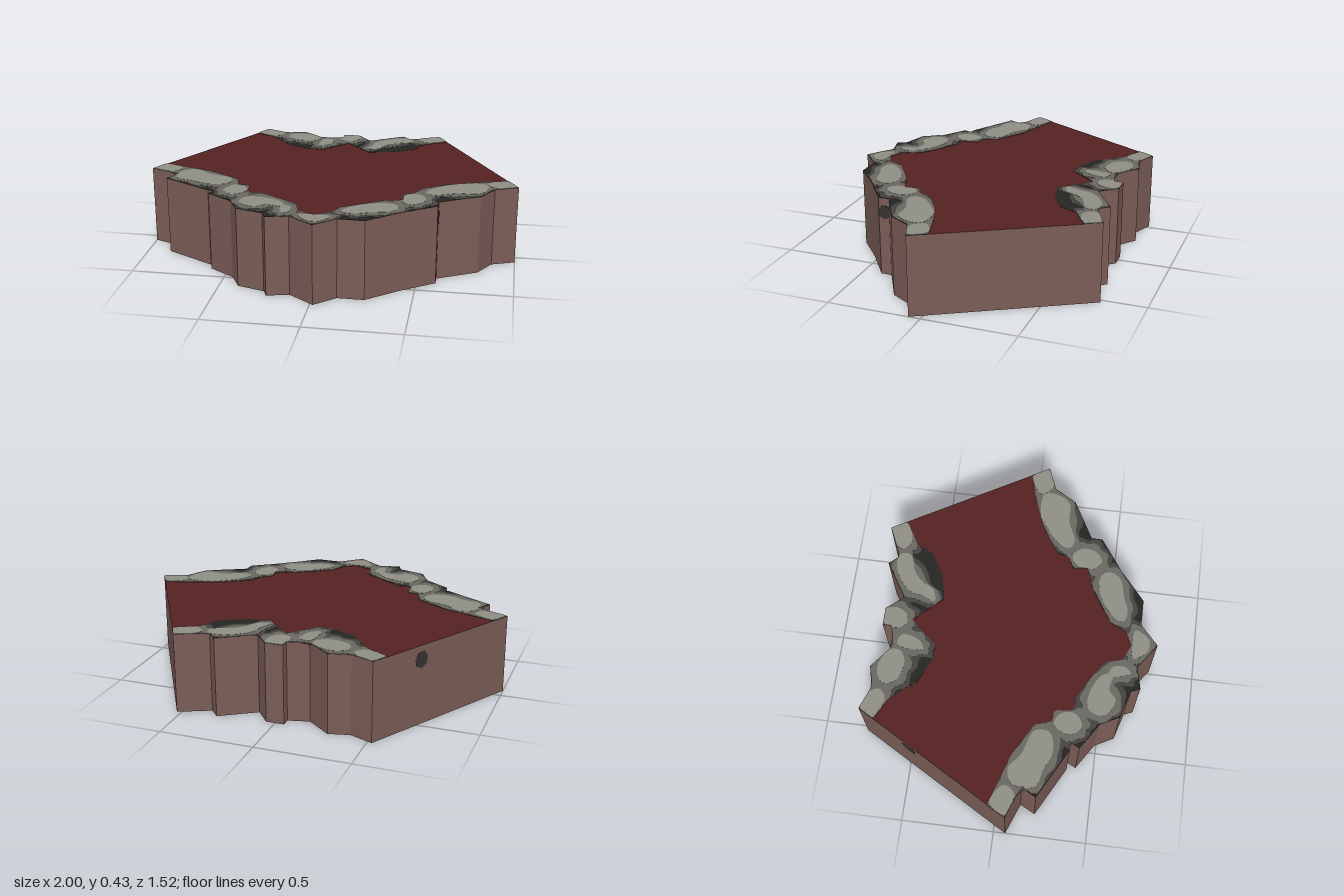
import * as THREE from 'three';

const UNIT = 187;        // plan units per model unit; plan points are [x, z]
const CAP_Y = 0.426;     // height of the top surface

const mat = (name, color, side = THREE.FrontSide) => {
  const m = new THREE.MeshStandardMaterial({ color, side });
  m.name = name;
  return m;
};

// Edge of the slab: ragged front from left to right, then ragged back
const FRONT = [[-187, 12], [-156, 24], [-164, 39], [-114, 66], [-104, 61], [-111, 75], [-85, 92],
  [-75, 111], [-48, 119], [-44, 128], [-22, 123], [3, 141], [23, 123], [49, 123], [79, 98],
  [112, 75], [112, 64], [151, 43], [164, 21], [187, 12]];
const BACK = [[98, -143], [67, -129], [58, -139], [23, -117], [9, -134], [-9, -134], [-9, -125],
  [-30, -120], [-54, -139], [-75, -134], [-98, -143]];

// Inner edges of the two stone rims
const FRONT_INNER = [[177, -6], [149, 2], [121, 12], [91, 30], [88, 42], [76, 49], [78, 65], [61, 68],
  [36, 83], [21, 93], [14, 108], [0, 115], [-16, 108], [-21, 90], [-44, 75], [-62, 65], [-74, 69],
  [-76, 47], [-89, 45], [-92, 30], [-124, 11], [-149, 3], [-177, -6]];
const BACK_INNER = [[-107, -127], [-86, -116], [-74, -103], [-64, -90], [-39, -79], [-24, -78],
  [-12, -92], [0, -105], [13, -91], [26, -77], [51, -82], [74, -95], [83, -113], [107, -127]];

// Bright tops of the stones in each rim
const FRONT_STONES = [
  [[101, 32], [121, 15], [131, 9], [156, 10], [158, 20], [149, 37], [128, 39], [106, 47], [98, 43]],
  [[81, 50], [91, 47], [99, 57], [96, 71], [86, 77], [78, 70]],
  [[26, 97], [46, 81], [69, 77], [76, 85], [71, 97], [51, 103], [36, 108], [24, 105]],
  [[-14, 118], [0, 116], [16, 118], [8, 132], [-4, 132]],
  [[-34, 96], [-25, 99], [-24, 112], [-30, 117]],
  [[-72, 80], [-59, 78], [-36, 88], [-32, 100], [-49, 98], [-59, 105], [-76, 95]],
  [[-91, 48], [-79, 53], [-77, 67], [-89, 75], [-99, 65]],
  [[-154, 15], [-139, 9], [-124, 20], [-99, 30], [-99, 45], [-119, 50], [-136, 43], [-154, 37]],
  [[-185, 11], [-175, -4], [-163, 0], [-156, 8], [-163, 18]],
  [[185, 11], [175, -4], [163, 0], [156, 8], [166, 18]],
];
const BACK_STONES = [
  [[-97, -142], [-80, -135], [-76, -126], [-86, -119], [-105, -128]],
  [[97, -142], [80, -135], [76, -126], [86, -119], [105, -128]],
  [[-69, -125], [-54, -132], [-34, -122], [-34, -112], [-46, -106], [-66, -112]],
  [[-28, -116], [-17, -113], [-21, -95], [-30, -90]],
  [[-8, -133], [8, -133], [11, -122], [4, -111], [-6, -111], [-11, -120]],
  [[31, -114], [55, -130], [70, -128], [70, -118], [51, -110], [41, -100], [36, -90], [22, -86], [27, -100]],
];

// Even-odd test of a plan point against a polygon
function inside(x, z, poly) {
  let hit = false;
  poly.forEach(([ax, az], i) => {
    const [bx, bz] = poly[(i + 1) % poly.length];
    if ((az > z) !== (bz > z) && x < ax + (bx - ax) * (z - az) / (bz - az)) hit = !hit;
  });
  return hit;
}

// Smooth a stone outline, push it outward, and pull it back inside its rim
function grow(stone, distance, rim) {
  const curve = new THREE.CatmullRomCurve3(stone.map(([x, z]) => new THREE.Vector3(x, 0, z)), true);
  const points = curve.getSpacedPoints(48).slice(0, -1);
  const c = points.reduce((s, p) => s.add(p), new THREE.Vector3()).divideScalar(points.length);
  return points.map((p, i) => {
    const d = p.clone().sub(c);
    const wobble = 1 + 0.2 * Math.sin(i * 1.05 + c.x);
    d.setLength(d.length() + distance * wobble);
    for (let k = 0; k < 40 && !inside(c.x + d.x, c.z + d.z, rim); k++) d.multiplyScalar(0.96);
    return [c.x + d.x, c.z + d.z];
  });
}

const toShape = (points) => new THREE.Shape(points.map(([x, z]) => new THREE.Vector2(x / UNIT, z / UNIT)));

// Thin plate showing on both faces of the top surface
function plate(name, points, half, material) {
  const g = new THREE.ExtrudeGeometry(toShape(points), { depth: 2 * half, bevelEnabled: false });
  g.rotateX(Math.PI / 2).translate(0, CAP_Y + half, 0);
  const mesh = new THREE.Mesh(g, material);
  mesh.name = name;
  return mesh;
}

export function createModel() {
  const model = new THREE.Group();
  model.name = 'rockPlatform';
  const wallMat = mat('wall brown', 0x7b5d57, THREE.DoubleSide);
  const topMat = mat('dark red', 0x552223, THREE.DoubleSide);
  const shadeMat = mat('crevice black', 0x252524);
  const darkMat = mat('dark stone', 0x45433f);
  const midMat = mat('mid stone', 0x6a6861);
  const lightMat = mat('light stone', 0x908f85);
  const spotMat = mat('spot grey', 0x363332);

  // Walls: an open ribbon around the edge, no underside
  const edge = [...FRONT, ...BACK];
  const verts = [];
  edge.forEach(([ax, az], i) => {
    const [bx, bz] = edge[(i + 1) % edge.length];
    const a = [ax / UNIT, az / UNIT], b = [bx / UNIT, bz / UNIT];
    for (const [p, y] of [[a, 0], [b, 0], [b, CAP_Y], [a, 0], [b, CAP_Y], [a, CAP_Y]]) verts.push(p[0], y, p[1]);
  });
  const wallGeo = new THREE.BufferGeometry();
  wallGeo.setAttribute('position', new THREE.Float32BufferAttribute(verts, 3));
  wallGeo.computeVertexNormals();
  const walls = new THREE.Mesh(wallGeo, wallMat);
  walls.name = 'walls';
  model.add(walls);

  // Flat top, a single sheet facing up
  const topGeo = new THREE.ShapeGeometry(toShape(edge.map(([x, z]) => [x, -z])));
  topGeo.rotateX(-Math.PI / 2).translate(0, CAP_Y, 0);
  const top = new THREE.Mesh(topGeo, topMat);
  top.name = 'topSurface';
  model.add(top);

  // Stone rims: black crevices, then nested tones up to the bright stone tops
  const rims = [
    ['frontRim', [...FRONT, ...FRONT_INNER], FRONT_STONES],
    ['backRim', [...BACK, ...BACK_INNER], BACK_STONES],
  ];
  for (const [name, rim, stones] of rims) {
    const group = new THREE.Group();
    group.name = name;
    group.add(plate('crevices', rim, 0.001, shadeMat));
    for (const stone of stones) {
      group.add(plate('stoneBase', grow(stone, 12, rim), 0.002, darkMat));
      group.add(plate('stoneSide', grow(stone, 7, rim), 0.003, midMat));
      group.add(plate('stoneTop', grow(stone, 0, rim), 0.004, lightMat));
    }
    model.add(group);
  }

  // Dark spots on the walls; angle is the outward direction
  const spots = [
    [0.6, 0.35, 0.368, Math.PI / 2, 0.038],
    [0.62, 0.35, 0.325, 0.47, 0.022],
    [-0.685, 0.35, -0.48, Math.atan2(-155, -89), 0.045],
  ];
  for (const [x, y, z, angle, r] of spots) {
    const g = new THREE.CylinderGeometry(r, r, 0.006, 7).rotateX(Math.PI / 2);
    const spot = new THREE.Mesh(g, spotMat);
    spot.name = 'wallSpot';
    spot.position.set(x, y, z);
    spot.rotation.y = angle;
    model.add(spot);
  }
  return model;
}
